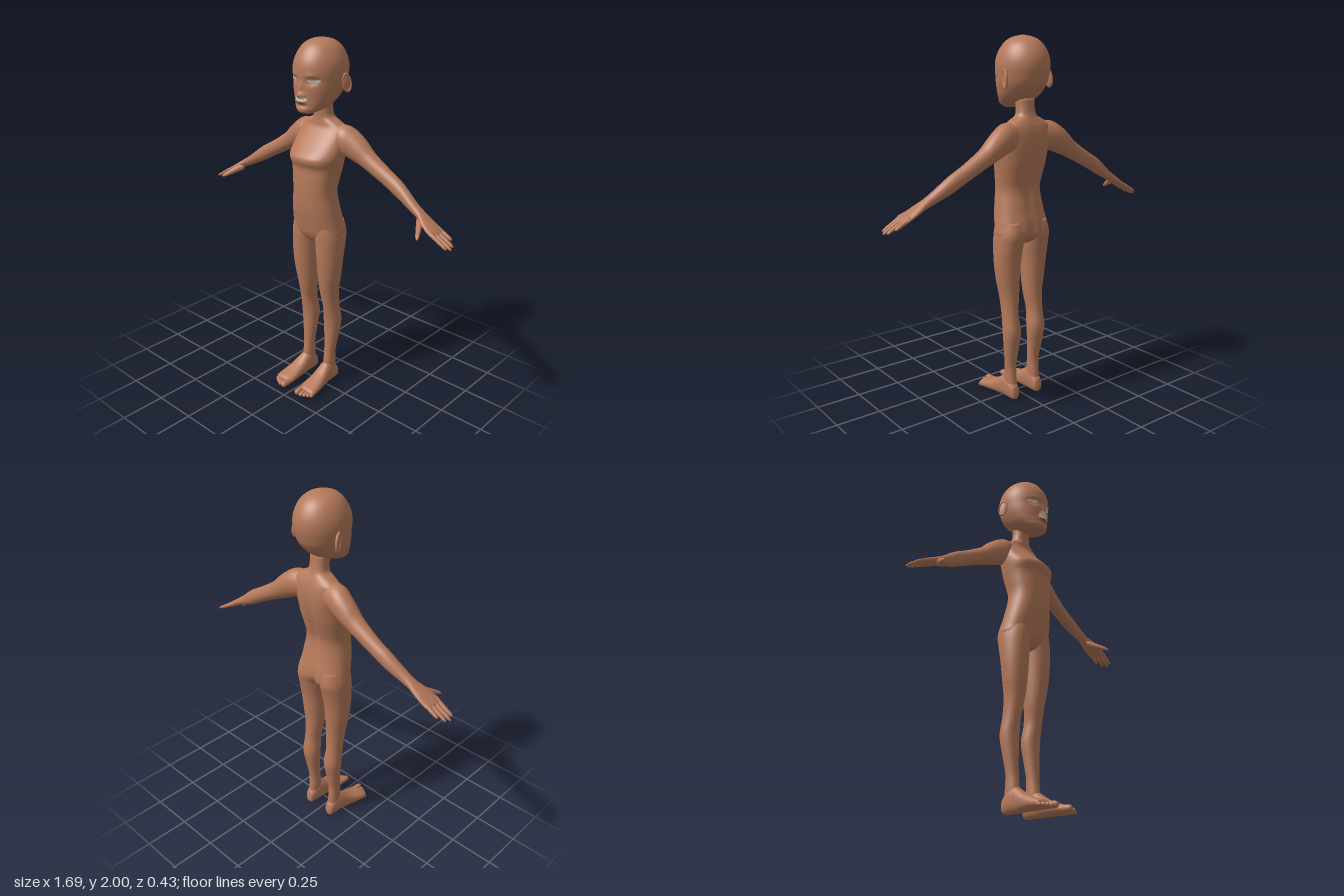
import * as THREE from 'three';

const skin = new THREE.MeshStandardMaterial({ color: 0xb5795a });
skin.name = 'skin';
const ivory = new THREE.MeshStandardMaterial({ color: 0xd9d2c3, side: THREE.DoubleSide });
ivory.name = 'ivory';
const mouthBrown = new THREE.MeshStandardMaterial({ color: 0x7c4a38, side: THREE.DoubleSide });
mouthBrown.name = 'mouth brown';

const bell = (v, c, s) => Math.exp(-(((v - c) / s) ** 2));

// Smooth interpolation of section rows [t, u0, u1, v0, v1] at position t
function sample(rows, t) {
  let i = 0;
  while (i < rows.length - 2 && t > rows[i + 1][0]) i++;
  const a = rows[i], b = rows[i + 1], h = b[0] - a[0];
  const s = THREE.MathUtils.clamp((t - a[0]) / h, 0, 1);
  const slope = (k, j) => {
    const p = rows[Math.max(k - 1, 0)], n = rows[Math.min(k + 1, rows.length - 1)];
    return (n[j] - p[j]) / (n[0] - p[0]);
  };
  return a.map((_, j) => {
    if (j === 0) return t;
    const s2 = s * s, s3 = s2 * s;
    return (2 * s3 - 3 * s2 + 1) * a[j] + (s3 - 2 * s2 + s) * h * slope(i, j)
      + (3 * s2 - 2 * s3) * b[j] + (s3 - s2) * h * slope(i + 1, j);
  });
}

// Closed skin over rounded sections; axis 0/1/2 = x/y/z, u and v are the next two axes in turn
function loft(axis, rows, { segs = 32, steps = 6, power = 2, warp } = {}) {
  const pos = [], idx = [], rings = [];
  for (let i = 0; i < rows.length - 1; i++)
    for (let k = 0; k < steps; k++)
      rings.push(sample(rows, THREE.MathUtils.lerp(rows[i][0], rows[i + 1][0], k / steps)));
  rings.push(rows[rows.length - 1]);
  const put = (t, u, v) => {
    const p = [];
    p[axis] = t; p[(axis + 1) % 3] = u; p[(axis + 2) % 3] = v;
    if (warp) warp(p);
    pos.push(...p);
  };
  const curve = c => Math.sign(c) * Math.abs(c) ** (2 / power);
  for (const [t, u0, u1, v0, v1] of rings)
    for (let j = 0; j < segs; j++) {
      const a = j / segs * Math.PI * 2;
      put(t, (u0 + u1) / 2 + (u1 - u0) / 2 * curve(Math.cos(a)),
        (v0 + v1) / 2 + (v1 - v0) / 2 * curve(Math.sin(a)));
    }
  const last = rings.length - 1, base = pos.length / 3;
  for (const r of [rings[0], rings[last]]) put(r[0], (r[1] + r[2]) / 2, (r[3] + r[4]) / 2);
  for (let j = 0; j < segs; j++) {
    const n = (j + 1) % segs;
    for (let i = 0; i < last; i++) {
      const a = i * segs + j, b = i * segs + n;
      idx.push(a, b, b + segs, a, b + segs, a + segs);
    }
    idx.push(base, n, j, base + 1, last * segs + j, last * segs + n);
  }
  const g = new THREE.BufferGeometry();
  g.setAttribute('position', new THREE.Float32BufferAttribute(pos, 3));
  g.setIndex(idx);
  g.computeVertexNormals();
  return g;
}

// Tapered digit with a rounded tip, running along one axis
function digit(axis, from, to, r0, r1) {
  const rows = [0, 0.3, 0.6, 0.85, 0.95, 0.99, 1].map((s, i) => {
    const r = THREE.MathUtils.lerp(r0, r1, s) * [1, 1, 1, 0.95, 0.7, 0.35, 0.1][i];
    const c = from.map((f, k) => THREE.MathUtils.lerp(f, to[k], s));
    const u = c[(axis + 1) % 3], v = c[(axis + 2) % 3];
    return [c[axis], u - r, u + r, v - r, v + r];
  });
  return loft(axis, rows, { segs: 14, steps: 3 });
}

// Rows for the centred parts: [y, back z, front z, half width]
const centred = rows => rows.map(([y, b, f, w]) => [y, b, f, -w, w]);

const torsoRows = centred([
  [0.89, -0.06, -0.01, 0.03], [0.905, -0.10, 0.015, 0.10], [0.95, -0.146, 0.045, 0.157],
  [1.0, -0.15, 0.058, 0.156], [1.1, -0.13, 0.078, 0.14], [1.2, -0.117, 0.085, 0.125],
  [1.28, -0.135, 0.083, 0.134], [1.335, -0.15, 0.081, 0.143], [1.375, -0.158, 0.096, 0.15],
  [1.40, -0.162, 0.091, 0.153], [1.45, -0.166, 0.045, 0.155], [1.50, -0.164, 0, 0.155],
  [1.54, -0.155, -0.03, 0.147], [1.57, -0.143, -0.036, 0.10], [1.59, -0.135, -0.037, 0.062],
  [1.62, -0.127, -0.036, 0.051], [1.68, -0.12, -0.03, 0.051]]);

const headRows = centred([
  [1.628, 0.025, 0.07, 0.025], [1.635, 0.0, 0.088, 0.045], [1.65, -0.05, 0.096, 0.07],
  [1.675, -0.11, 0.094, 0.093], [1.70, -0.145, 0.092, 0.109], [1.75, -0.186, 0.093, 0.127],
  [1.80, -0.205, 0.094, 0.135], [1.85, -0.213, 0.096, 0.138], [1.90, -0.205, 0.085, 0.129],
  [1.95, -0.178, 0.055, 0.104], [1.98, -0.143, 0.022, 0.072], [1.994, -0.105, -0.016, 0.04],
  [2.0, -0.07, -0.05, 0.01]]);

// Relief of the face: nose, sockets, brows, lips and chin
function relief(x, y) {
  const a = Math.abs(x);
  return 0.010 * bell(x, 0, 0.013) * bell(y, 1.765, 0.03)
    + 0.024 * bell(x, 0, 0.016) * bell(y, 1.727, 0.015)
    + 0.009 * bell(a, 0.019, 0.008) * bell(y, 1.722, 0.01)
    - 0.013 * bell(a, 0.062, 0.028) * bell(y, 1.797, 0.017)
    + 0.004 * bell(a, 0.055, 0.03) * bell(y, 1.828, 0.01)
    + 0.010 * bell(x, 0, 0.03) * bell(y, 1.695, 0.012)
    - 0.006 * bell(x, 0, 0.03) * bell(y, 1.672, 0.008);
}

function faceZ(x, y) {
  const [, b, f, , w] = sample(headRows, y);
  return (b + f) / 2 + (f - b) / 2 * Math.sqrt(Math.max(0, 1 - (x / w) ** 2)) + relief(x, y);
}

// Thin lens-shaped plate lying on the face
function facePlate(cx, cy, halfW, up, down, lift) {
  const g = new THREE.PlaneGeometry(2, 1, 24, 5), p = g.attributes.position;
  for (let i = 0; i < p.count; i++) {
    const s = p.getX(i), bulge = (1 - s ** 4) ** 0.5;
    const x = cx + s * halfW;
    const y = cy + THREE.MathUtils.lerp(-down, up, p.getY(i) + 0.5) * bulge;
    p.setXYZ(i, x, y, faceZ(x, y) + lift);
  }
  g.computeVertexNormals();
  return g;
}

function mirrored(geo) {
  const g = geo.clone().scale(-1, 1, 1), ix = g.index;
  for (let i = 0; i < ix.count; i += 3) {
    const t = ix.getX(i);
    ix.setX(i, ix.getX(i + 1));
    ix.setX(i + 1, t);
  }
  return g;
}

export function createModel() {
  const model = new THREE.Group();
  model.name = 'figure';
  const add = (name, geo, mat = skin) => {
    const m = new THREE.Mesh(geo, mat);
    m.name = name;
    model.add(m);
  };
  const pair = (name, geo, mat) => {
    add('left ' + name, geo, mat);
    add('right ' + name, mirrored(geo), mat);
  };

  // Torso and neck, with a spine groove
  add('torso', loft(1, torsoRows, {
    segs: 64, power: 2.3, warp: p => {
      if (p[2] < -0.08) p[2] += 0.012 * bell(p[0], 0, 0.025) * bell(p[1], 1.28, 0.2)
        + 0.022 * bell(p[0], 0, 0.016) * bell(p[1], 0.94, 0.06);
    } }));

  // Head and face
  add('head', loft(1, headRows, {
    segs: 128, steps: 8, warp: p => { if (p[2] > 0) p[2] += relief(p[0], p[1]); } }));
  pair('eye', facePlate(0.067, 1.803, 0.031, 0.008, 0.008, 0.003), ivory);
  add('teeth', facePlate(0, 1.708, 0.038, 0.015, 0.009, 0.004), ivory);
  add('mouth', facePlate(0, 1.687, 0.032, 0.004, 0.004, 0.002), mouthBrown);

  // Ears: a flat shell with a raised rim
  const place = g => g.rotateX(0.2).rotateY(-0.35).translate(0.139, 1.782, -0.097);
  pair('ear', place(new THREE.SphereGeometry(1, 24, 16).scale(0.009, 0.05, 0.026)));
  pair('ear rim', place(new THREE.TorusGeometry(1, 0.2, 10, 32).rotateY(Math.PI / 2)
    .scale(0.03, 0.044, 0.023).translate(0.004, 0, 0)));

  // Arms running into the palms
  pair('arm', loft(0, [
    [0.08, 1.42, 1.563, -0.15, -0.035], [0.155, 1.396, 1.558, -0.166, -0.032],
    [0.20, 1.378, 1.535, -0.17, -0.045], [0.25, 1.358, 1.495, -0.168, -0.058],
    [0.30, 1.335, 1.446, -0.163, -0.067], [0.41, 1.28, 1.374, -0.156, -0.078],
    [0.50, 1.232, 1.322, -0.148, -0.078], [0.60, 1.186, 1.246, -0.128, -0.068],
    [0.635, 1.171, 1.222, -0.126, -0.062], [0.67, 1.152, 1.198, -0.13, -0.043],
    [0.72, 1.128, 1.164, -0.132, -0.025], [0.755, 1.115, 1.14, -0.127, -0.025],
    [0.762, 1.122, 1.13, -0.11, -0.04]]));

  // Fingers [z, tip x, tip y] and thumb
  [[-0.036, 0.835, 1.082], [-0.062, 0.846, 1.075], [-0.09, 0.838, 1.08], [-0.118, 0.81, 1.1]]
    .forEach(([z, x, y], i) => pair('finger ' + (i + 1),
      digit(0, [0.73, 1.141, z * 0.95 - 0.003], [x, y, z], 0.0135, 0.009)));
  pair('thumb', digit(2, [0.65, 1.172, -0.07], [0.71, 1.122, 0.038], 0.022, 0.010));

  // Legs: [y, back z, front z, inner x, outer x]
  pair('leg', loft(1, [
    [0.04, -0.10, -0.01, 0.052, 0.11], [0.12, -0.095, -0.012, 0.05, 0.112],
    [0.2, -0.091, -0.021, 0.05, 0.113], [0.3, -0.108, -0.025, 0.042, 0.125],
    [0.4, -0.124, -0.023, 0.034, 0.135], [0.5, -0.11, -0.008, 0.042, 0.13],
    [0.6, -0.104, 0.012, 0.03, 0.134], [0.7, -0.108, 0.028, 0.023, 0.15],
    [0.8, -0.117, 0.038, 0.018, 0.16], [0.9, -0.136, 0.044, 0.01, 0.163],
    [0.96, -0.148, 0.045, 0.004, 0.16], [1.03, -0.135, 0.04, 0.01, 0.145]],
  { segs: 40, power: 2.1 }));

  // Feet: [z, inner x, outer x, bottom y, top y]
  pair('foot', loft(2, [
    [-0.113, 0.07, 0.092, 0.02, 0.045], [-0.104, 0.056, 0.107, 0.004, 0.08],
    [-0.06, 0.046, 0.117, 0, 0.125], [-0.02, 0.043, 0.12, 0, 0.13],
    [0.01, 0.04, 0.126, 0, 0.112], [0.05, 0.038, 0.134, 0, 0.086],
    [0.10, 0.035, 0.143, 0, 0.064], [0.14, 0.035, 0.147, 0, 0.05],
    [0.16, 0.038, 0.144, 0.004, 0.042], [0.168, 0.05, 0.13, 0.012, 0.032]], { power: 2.3 }));

  // Toes [x, tip z, radius]
  [[0.055, 0.212, 0.018], [0.082, 0.208, 0.0125], [0.102, 0.198, 0.0115],
    [0.12, 0.187, 0.011], [0.136, 0.173, 0.0105]].forEach(([x, z, r], i) =>
    pair('toe ' + (i + 1), digit(2, [x, 0.024, 0.12], [x, r + 0.002, z], r, r)));

  return model;
}
